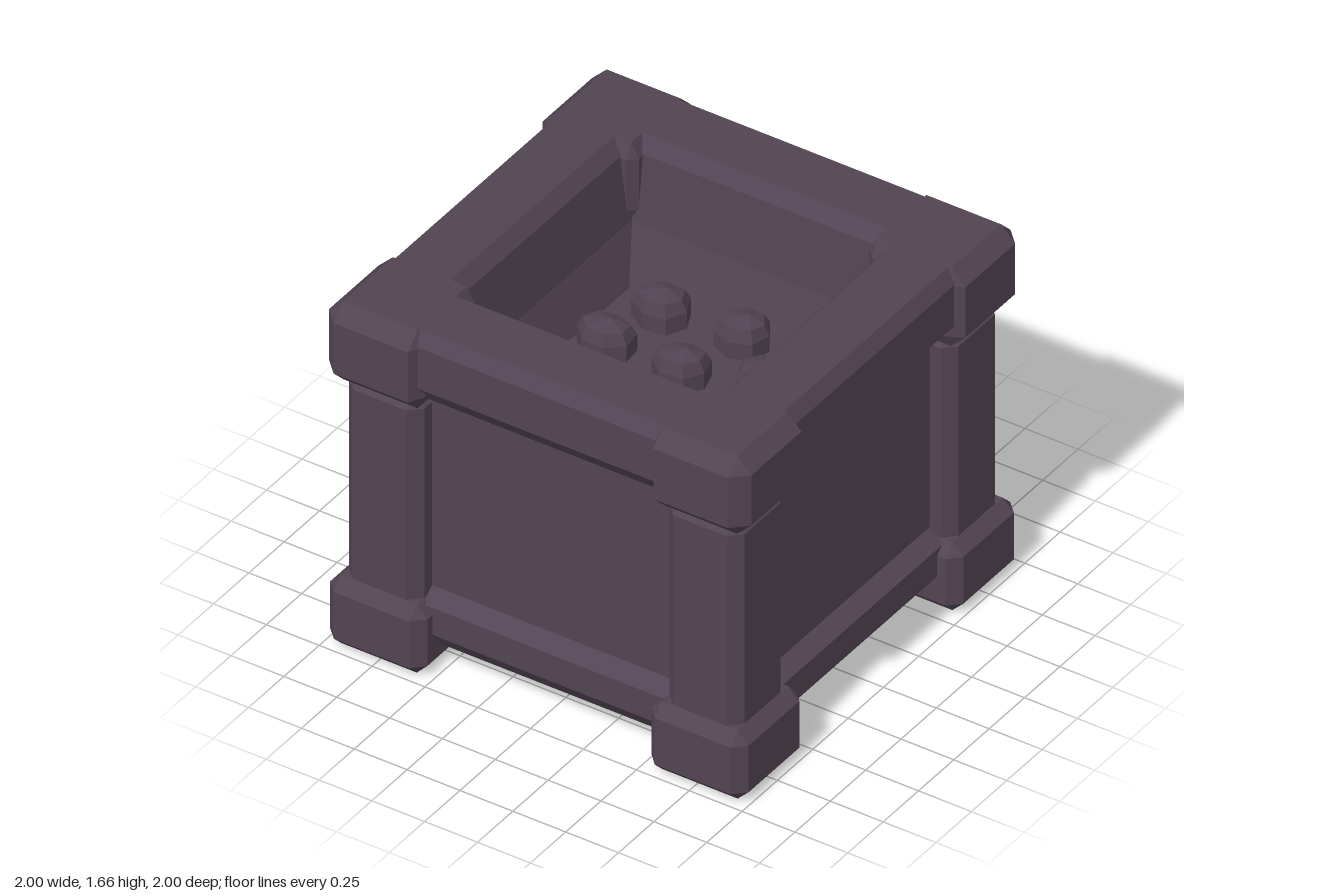
import * as THREE from 'three';
import { ConvexGeometry } from 'three/addons/geometries/ConvexGeometry.js';

const stone = new THREE.MeshStandardMaterial({ color: 0x524452, flatShading: true });
stone.name = 'dark purple stone';

function part(name, geometry, parent) {
  const mesh = new THREE.Mesh(geometry, stone);
  mesh.name = name;
  parent.add(mesh);
  return mesh;
}

// Square loops with cut corners, joined along a profile of [half width, y, corner cut]
function loftSquare(profile) {
  const positions = [], index = [];
  for (const [h, y, cut = 0] of profile) {
    const k = h - cut;
    for (const [x, z] of [[h, -k], [h, k], [k, h], [-k, h], [-h, k], [-h, -k], [-k, -h], [k, -h]]) {
      positions.push(x, y, z);
    }
  }
  for (let i = 0; i < profile.length - 1; i++) {
    for (let j = 0; j < 8; j++) {
      const a = i * 8 + j, b = i * 8 + (j + 1) % 8;
      index.push(a, a + 8, b + 8, a, b + 8, b);
    }
  }
  const g = new THREE.BufferGeometry();
  g.setAttribute('position', new THREE.Float32BufferAttribute(positions, 3));
  g.setIndex(index);
  const flat = g.toNonIndexed();
  flat.computeVertexNormals();
  return flat;
}

// Corner block from inner to outer in both x and z, every edge bevelled
function bevelBlock(inner, outer, y0, y1, innerBevel, outerBevel) {
  const points = [];
  const sides = [[inner, innerBevel], [outer, -outerBevel]];
  for (const [x, bx] of sides) {
    for (const [z, bz] of sides) {
      for (const [y, by] of [[y0, outerBevel], [y1, -outerBevel]]) {
        points.push(
          new THREE.Vector3(x, y + by, z + bz),
          new THREE.Vector3(x + bx, y, z + bz),
          new THREE.Vector3(x + bx, y + by, z)
        );
      }
    }
  }
  return new ConvexGeometry(points);
}

// Seven-sided rock with a sloping rim and a low, off-centre peak
function rockGeometry(rx, rz, height, seed) {
  const points = [];
  for (let i = 0; i < 7; i++) {
    const a = (i / 7) * Math.PI * 2 + seed;
    const r = 1 + 0.06 * Math.sin(i * 2.3 + seed * 5);
    for (const [s, y] of [[1, -0.05], [1, height * 0.55], [0.8, height * (0.9 + 0.06 * Math.sin(a))]]) {
      points.push(new THREE.Vector3(Math.cos(a) * rx * r * s, y, Math.sin(a) * rz * r * s));
    }
  }
  points.push(new THREE.Vector3(rx * 0.15, height * 1.08, -rz * 0.1));
  return new ConvexGeometry(points);
}

export function createModel() {
  const model = new THREE.Group();
  model.name = 'stonePlanter';
  const floorY = 1.08;

  // Base rail, walls, tapered basin and floor
  part('body', loftSquare([
    [0, 0.1], [0.84, 0.1], [0.9, 0.18], [0.9, 0.31], [0.83, 0.36],
    [0.83, 1.29], [0.57, 1.29], [0.49, floorY, 0.06], [0, floorY]
  ]), model);

  // Heavy bevelled rim around the opening
  part('rim', loftSquare([
    [0.57, 1.28], [0.83, 1.28], [0.89, 1.31, 0.1], [0.96, 1.4, 0.1], [0.96, 1.6, 0.1],
    [0.92, 1.66, 0.06], [0.66, 1.66], [0.61, 1.6], [0.57, 1.28]
  ]), model);

  // Four corners, each with foot, pillar and cap
  const foot = bevelBlock(0.53, 0.99, 0, 0.33, 0.05, 0.052);
  const pillar = bevelBlock(0.58, 0.935, 0.25, 1.3, 0.05, 0.05);
  const cap = bevelBlock(0.545, 1, 1.28, 1.66, 0.035, 0.068);
  for (let i = 0; i < 4; i++) {
    const corner = new THREE.Group();
    corner.name = 'corner' + (i + 1);
    part('foot', foot, corner);
    part('pillar', pillar, corner);
    part('cap', cap, corner);
    corner.rotation.y = i * Math.PI / 2;
    model.add(corner);
  }

  // Rocks on the floor: x, z, half width, half depth
  const rocks = new THREE.Group();
  rocks.name = 'rocks';
  [
    [-0.27, -0.33, 0.12, 0.11], [0.1, -0.36, 0.115, 0.11], [0.34, -0.14, 0.12, 0.105],
    [-0.34, -0.04, 0.125, 0.105], [0.02, -0.04, 0.12, 0.105], [-0.32, 0.32, 0.12, 0.092],
    [0.02, 0.36, 0.138, 0.11], [0.37, 0.25, 0.105, 0.085]
  ].forEach(([x, z, rx, rz], i) => {
    part('rock', rockGeometry(rx, rz, 0.14, i * 0.7), rocks).position.set(x, floorY, z);
  });
  model.add(rocks);
  return model;
}
